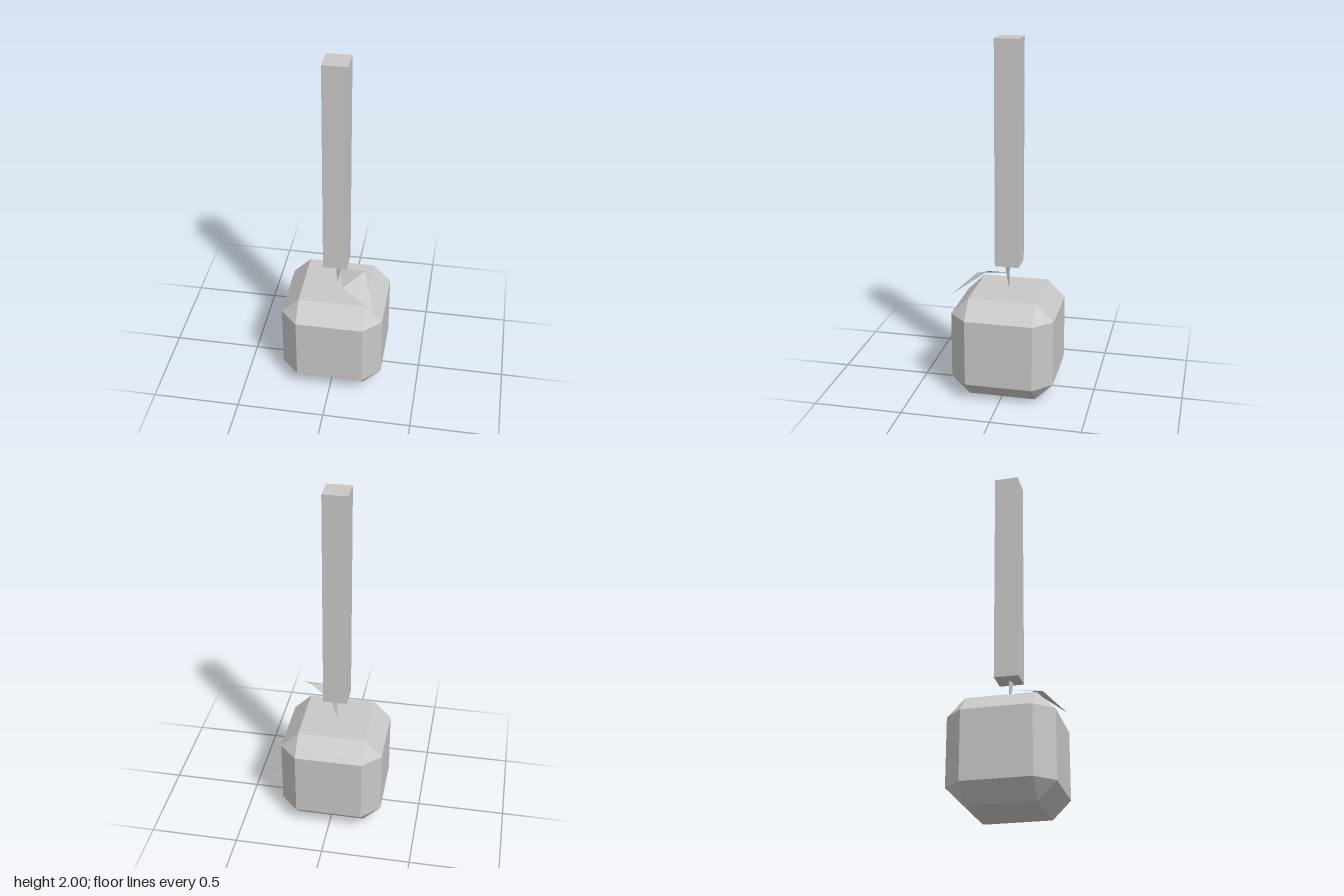
import * as THREE from 'three';
import { ConvexGeometry } from 'three/addons/geometries/ConvexGeometry.js';

const v = (x, y, z) => new THREE.Vector3(x, y, z);

// cube with every edge cut flat and every corner cut to a triangle
function chamferedCube(half, inner) {
  const points = [];
  for (const sx of [-1, 1]) for (const sy of [-1, 1]) for (const sz of [-1, 1]) {
    points.push(
      v(sx * half, sy * inner, sz * inner),
      v(sx * inner, sy * half, sz * inner),
      v(sx * inner, sy * inner, sz * half));
  }
  return new ConvexGeometry(points);
}

// open sheet of separate flat triangles
function triangles(...corners) {
  const geometry = new THREE.BufferGeometry().setFromPoints(corners);
  geometry.computeVertexNormals();
  return geometry;
}

export function createModel() {
  const model = new THREE.Group();
  const grey = new THREE.MeshStandardMaterial({
    color: 0xc8c8c8, flatShading: true, side: THREE.DoubleSide });
  grey.name = 'plain grey';

  const add = (name, geometry, x = 0, y = 0, z = 0) => {
    const mesh = new THREE.Mesh(geometry, grey);
    mesh.name = name;
    mesh.position.set(x, y, z);
    model.add(mesh);
  };

  // bevelled block at the bottom
  add('block', chamferedCube(0.29, 0.19), 0, 0.29, 0);

  // tall square post
  add('post', new THREE.BoxGeometry(0.137, 1.265, 0.137), -0.001, 1.3675, -0.001);

  // three-sided spike joining post and block
  add('stem', new ConvexGeometry([
    v(0, 0.58, 0), v(-0.005, 0.736, 0.001), v(0.04, 0.736, 0.015), v(0.04, 0.736, -0.013)]));

  // leaf folded across its middle
  const root = v(0.018, 0.685, -0.005), tip = v(0.25, 0.62, 0.27);
  const upper = v(0.17, 0.743, 0.08), lower = v(0.06, 0.685, 0.172);
  add('leaf', triangles(root, lower, upper, upper, lower, tip));

  return model;
}
